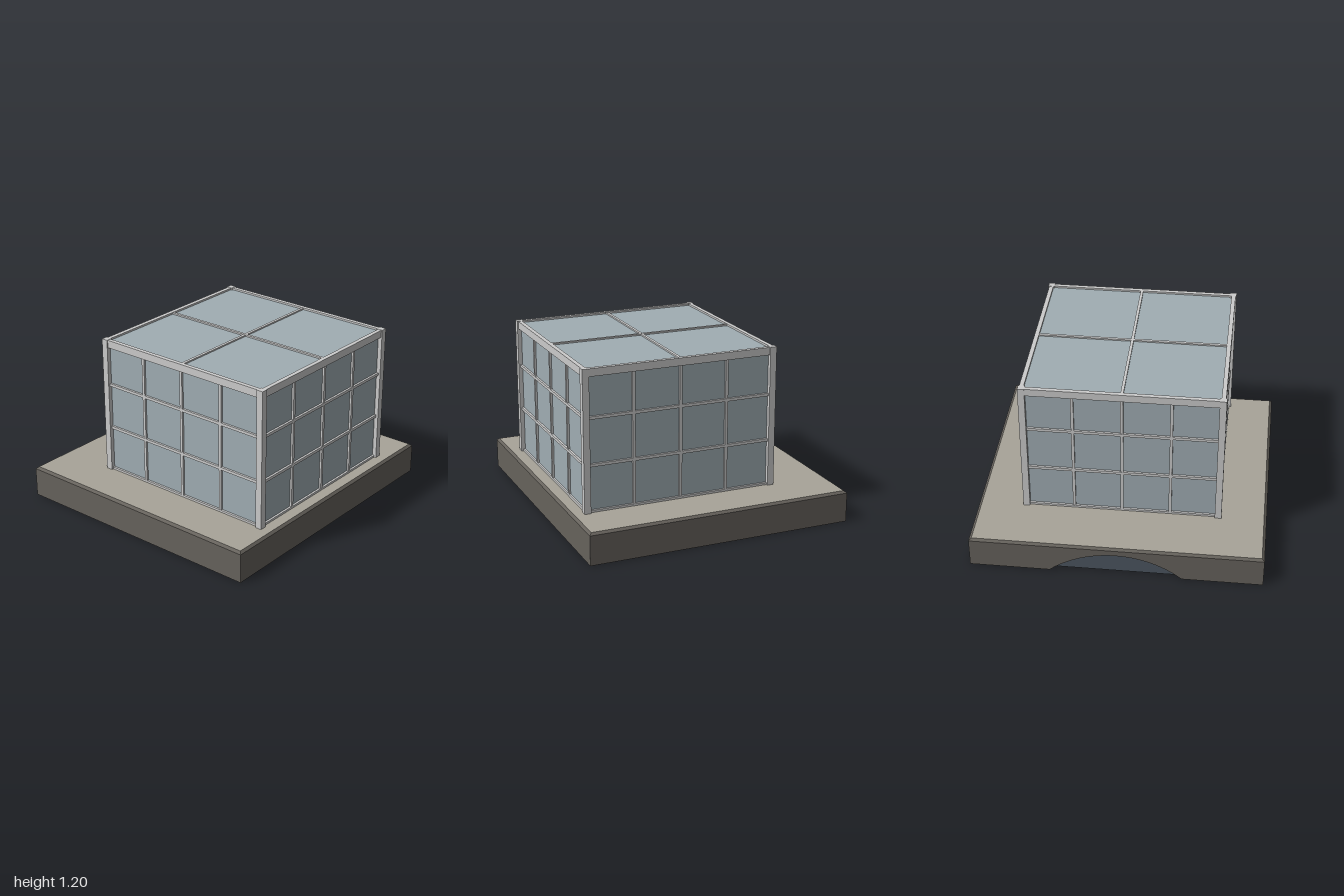
import * as THREE from 'three';

const paint = (color, side = THREE.FrontSide) =>
  new THREE.MeshStandardMaterial({ color, side });
const stone = paint(0x66625c, THREE.DoubleSide);
const paving = paint(0xa8a499);
const frameMat = paint(0xcccccc);
const glassMat = paint(0xa0adb3);
const floorMat = paint(0x55585a);
const archMat = paint(0x4c5660, THREE.DoubleSide);

const HX = 1, HZ = 0.93, WALL = 0.205, DECK = 0.22; // plinth
const CZ = 0.16, HALF = 0.66, TOP = 1.2;            // glass house
const ARCH_W = 0.45, ARCH_H = 0.165, RECESS = 0.04; // arch in the back wall

function add(parent, name, geometry, material, x = 0, y = 0, z = 0) {
  const mesh = new THREE.Mesh(geometry, material);
  mesh.name = name;
  mesh.position.set(x, y, z);
  parent.add(mesh);
  return mesh;
}

// box given by its width, depth and vertical range
function slab(parent, name, material, w, d, y0, y1, x = 0, z = 0) {
  return add(parent, name, new THREE.BoxGeometry(w, y1 - y0, d), material, x, (y0 + y1) / 2, z);
}

// points of the shallow circular arch, from -x to +x
function archPoints(n = 24) {
  const r = (ARCH_W ** 2 + ARCH_H ** 2) / (2 * ARCH_H);
  const a = Math.asin(ARCH_W / r);
  return Array.from({ length: n + 1 }, (_, i) => {
    const t = -a + (2 * a * i) / n;
    return new THREE.Vector2(r * Math.sin(t), r * Math.cos(t) - r + ARCH_H);
  });
}

function buildPlinth() {
  const g = new THREE.Group();
  g.name = 'plinth';

  // thin walls, open underneath
  add(g, 'frontWall', new THREE.PlaneGeometry(2 * HX, WALL), stone, 0, WALL / 2, HZ);
  for (const s of [-1, 1]) {
    const wall = add(g, 'sideWall', new THREE.PlaneGeometry(2 * HZ, WALL), stone, s * HX, WALL / 2, 0);
    wall.rotation.y = (s * Math.PI) / 2;
  }

  // back wall with the arch cut out of its lower edge
  const arch = archPoints();
  const outline = new THREE.Shape([
    new THREE.Vector2(-HX, 0), ...arch, new THREE.Vector2(HX, 0),
    new THREE.Vector2(HX, WALL), new THREE.Vector2(-HX, WALL),
  ]);
  add(g, 'backWall', new THREE.ShapeGeometry(outline), stone, 0, 0, -HZ).rotation.y = Math.PI;

  // curved underside of the arch
  const soffit = new THREE.PlaneGeometry(1, 1, arch.length - 1, 1);
  const pos = soffit.attributes.position;
  for (let i = 0; i < pos.count; i++) {
    const p = arch[i % arch.length];
    pos.setXYZ(i, p.x, p.y, i < arch.length ? -HZ : -HZ + RECESS);
  }
  soffit.computeVertexNormals();
  add(g, 'archSoffit', soffit, stone);

  // dark panel set back in the arch
  add(g, 'archPanel', new THREE.ShapeGeometry(new THREE.Shape(arch)), archMat, 0, 0, -HZ + RECESS)
    .rotation.y = Math.PI;

  // bevelled top edge
  const r = Math.SQRT2;
  let bevel = new THREE.CylinderGeometry(r * 0.982, r, DECK - WALL, 4, 1, true);
  bevel.rotateY(Math.PI / 4).scale(HX, 1, HZ);
  bevel = bevel.toNonIndexed();
  bevel.computeVertexNormals();
  add(g, 'bevel', bevel, stone, 0, (WALL + DECK) / 2, 0);

  // paved deck over a stone underside
  slab(g, 'deckUnderside', stone, 1.98 * HX, 1.98 * HZ, 0.2, 0.212);
  slab(g, 'deck', paving, 1.964 * HX, 1.964 * HZ, 0.212, DECK);
  return g;
}

function buildGlassHouse() {
  const g = new THREE.Group();
  g.name = 'glassHouse';
  g.position.z = CZ;

  // glass volume reaching down through the deck
  slab(g, 'glass', glassMat, 2 * HALF, 2 * HALF, 0.005, 1.185);
  slab(g, 'floor', floorMat, 2 * HALF, 2 * HALF, 0, 0.005);

  // corner posts
  for (const x of [-1, 1]) for (const z of [-1, 1]) {
    slab(g, 'cornerPost', frameMat, 0.046, 0.046, 0.195, TOP, x * 0.666, z * 0.666);
  }

  // four identical sides of rails and glazing bars
  for (let i = 0; i < 4; i++) {
    const side = new THREE.Group();
    side.name = 'windowSide';
    side.rotation.y = (i * Math.PI) / 2;
    slab(side, 'topRail', frameMat, 1.31, 0.03, 1.145, TOP - 0.002, 0, 0.667);
    slab(side, 'bottomRail', frameMat, 1.31, 0.03, 0.195, 0.235, 0, 0.66);
    for (const y of [0.545, 0.867]) {
      slab(side, 'crossBar', frameMat, 1.31, 0.03, y - 0.01, y + 0.01, 0, 0.66);
    }
    for (const x of [-0.332, 0, 0.332]) {
      slab(side, 'uprightBar', frameMat, 0.02, 0.028, 0.22, 1.15, x, 0.66);
    }
    g.add(side);
  }

  // roof bars
  slab(g, 'roofBarLong', frameMat, 0.02, 1.31, 1.17, 1.196);
  slab(g, 'roofBarCross', frameMat, 1.31, 0.02, 1.17, 1.195);
  return g;
}

export function createModel() {
  const model = new THREE.Group();
  model.name = 'glassPavilion';
  model.add(buildPlinth(), buildGlassHouse());
  return model;
}
